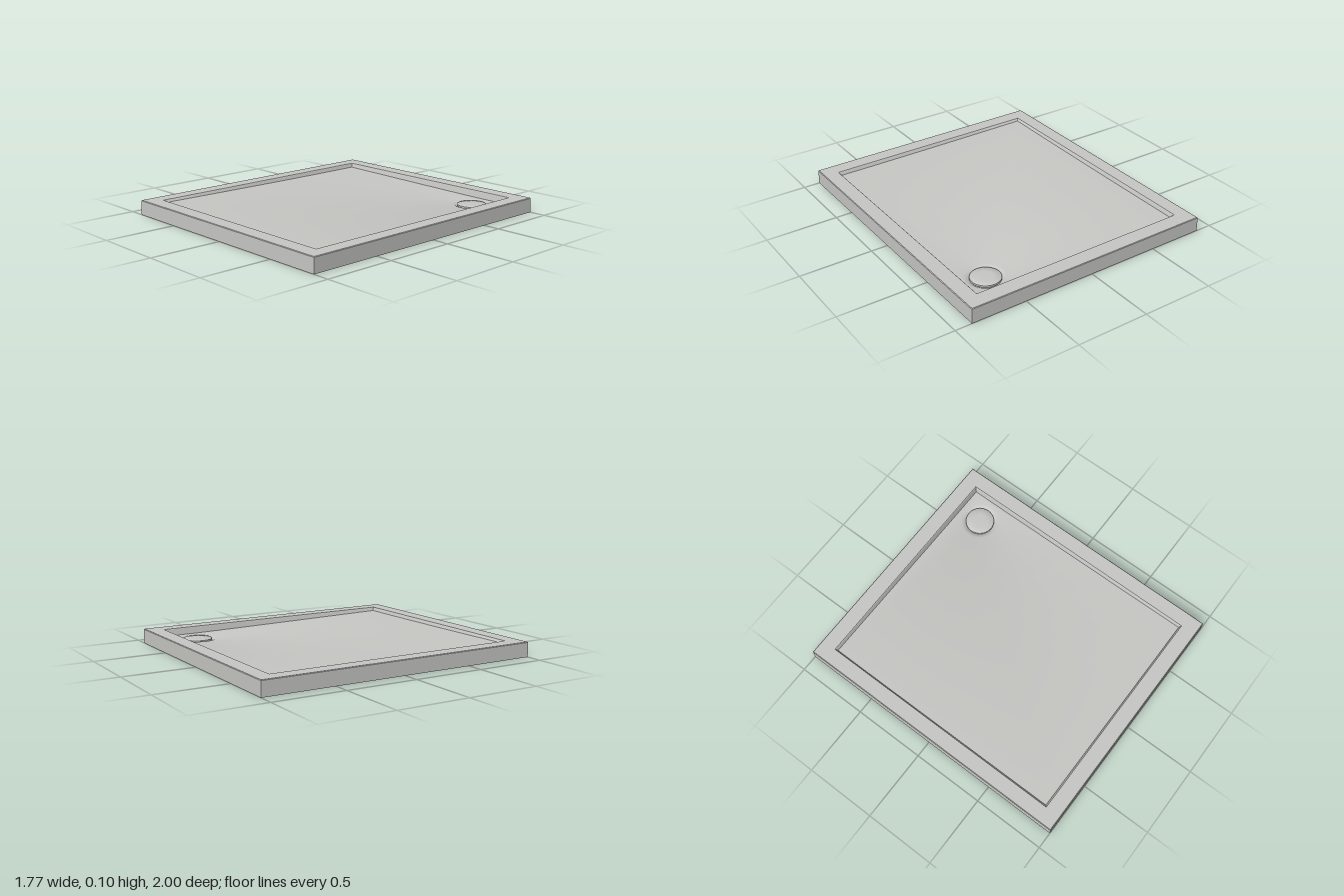
import * as THREE from 'three';
import { toCreasedNormals } from 'three/addons/utils/BufferGeometryUtils.js';

const DRAIN = { x: 0.6, z: -0.715 };
const STEPS = 48; // samples along each side of the tray

// Points round a rectangle, counter-clockwise from above, corners included
function rectLoop(hx, hz, height) {
  const corners = [[-hx, hz], [hx, hz], [hx, -hz], [-hx, -hz]];
  const pts = [];
  corners.forEach(([x0, z0], i) => {
    const [x1, z1] = corners[(i + 1) % 4];
    for (let s = 0; s < STEPS; s++) {
      const t = s / STEPS;
      const x = x0 + (x1 - x0) * t, z = z0 + (z1 - z0) * t;
      pts.push(new THREE.Vector3(x, typeof height === 'function' ? height(x, z) : height, z));
    }
  });
  return pts;
}

// Points round the drain, each in the direction of the matching outer point
function drainLoop(outer, radius, y) {
  return outer.map((p) => {
    const a = Math.atan2(p.z - DRAIN.z, p.x - DRAIN.x);
    return new THREE.Vector3(DRAIN.x + radius * Math.cos(a), y, DRAIN.z + radius * Math.sin(a));
  });
}

// Skin between successive loops, from the innermost outwards
function loft(loops, crease) {
  const n = loops[0].length, pos = [], index = [];
  loops.forEach((loop) => loop.forEach((p) => pos.push(p.x, p.y, p.z)));
  for (let i = 0; i < loops.length - 1; i++) {
    for (let k = 0; k < n; k++) {
      const a = i * n + k, d = i * n + (k + 1) % n;
      index.push(a, a + n, d + n, a, d + n, d);
    }
  }
  const g = new THREE.BufferGeometry();
  g.setAttribute('position', new THREE.Float32BufferAttribute(pos, 3));
  g.setIndex(index);
  return toCreasedNormals(g, crease);
}

export function createModel() {
  const group = new THREE.Group();
  const acrylic = new THREE.MeshStandardMaterial({ color: 0xc8c8c5, side: THREE.DoubleSide });
  acrylic.name = 'greyAcrylic';
  const add = (name, geometry) => {
    const mesh = new THREE.Mesh(geometry, acrylic);
    mesh.name = name;
    group.add(mesh);
    return mesh;
  };

  // The floor falls gently towards the drain
  const floorY = (x, z) => 0.053 + 0.016 * Math.hypot(x - DRAIN.x, z - DRAIN.z);
  const foot = rectLoop(0.768, 0.878, floorY);

  // Floor with a shallow dish round the drain
  add('floor', loft([
    drainLoop(foot, 0.0001, 0.036),
    drainLoop(foot, 0.092, 0.036),
    drainLoop(foot, 0.104, 0.042),
    drainLoop(foot, 0.118, 0.051),
    drainLoop(foot, 0.135, floorY(DRAIN.x + 0.135, DRAIN.z)),
    foot,
  ], 0.6));

  // Basin wall, flat rim, eased top edge and outer skirt, open underneath
  add('rimAndSkirt', loft([
    foot,
    rectLoop(0.776, 0.886, 0.099),
    rectLoop(0.78, 0.89, 0.103),
    rectLoop(0.88, 0.995, 0.103),
    rectLoop(0.884, 0.999, 0.099),
    rectLoop(0.885, 1, 0),
  ], 0.3));

  // Round drain cover, slightly domed
  const profile = [[0.088, 0.037], [0.1, 0.043], [0.1, 0.055], [0.097, 0.057], [0.05, 0.0585], [0, 0.059]]
    .map(([r, y]) => new THREE.Vector2(r, y));
  const cover = add('drainCover', toCreasedNormals(new THREE.LatheGeometry(profile, 64), 0.6));
  cover.position.set(DRAIN.x, 0, DRAIN.z);

  return group;
}
